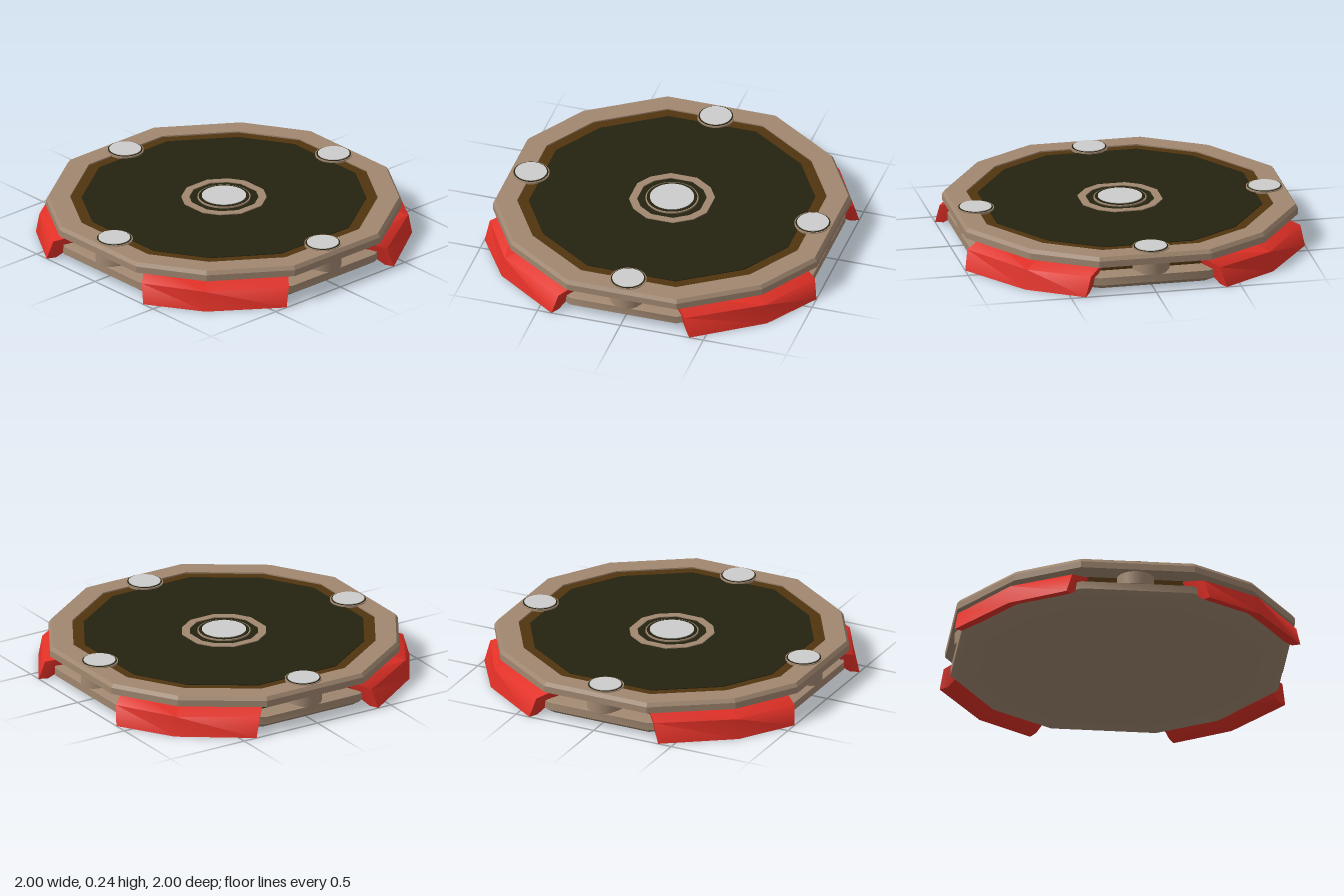
import * as THREE from 'three';
import { toCreasedNormals } from 'three/addons/utils/BufferGeometryUtils.js';

const material = (name, color, side = THREE.FrontSide) => {
  const m = new THREE.MeshStandardMaterial({ color, side });
  m.name = name;
  return m;
};

// Twelve-sided outline, mirrored from one quadrant
const QUADRANT = [[0.977, 0.33], [0.69, 0.757], [0.33, 0.977]];
const mirrored = (points, sx, sz) => {
  const p = points.map(([x, z]) => [x * sx, z * sz]);
  return sx * sz < 0 ? p.reverse() : p;
};
const OUTLINE = [[1, 1], [-1, 1], [-1, -1], [1, -1]].flatMap(([sx, sz]) => mirrored(QUADRANT, sx, sz));

// Skin between rings of [x, y, z] points
function loft(rings, { around = true, loop = false, ends = false, crease = 0.3 } = {}) {
  const n = rings[0].length, m = rings.length, index = [];
  for (let j = 0; j < (loop ? m : m - 1); j++) {
    for (let i = 0; i < (around ? n : n - 1); i++) {
      const k = (j + 1) % m, l = (i + 1) % n;
      const a = j * n + i, b = j * n + l, c = k * n + l, d = k * n + i;
      index.push(a, d, c, a, c, b);
    }
  }
  if (ends) {
    for (let j = 1; j < m - 1; j++) {
      index.push(0, (j + 1) * n, j * n);
      index.push(n - 1, j * n + n - 1, (j + 1) * n + n - 1);
    }
  }
  const g = new THREE.BufferGeometry();
  g.setAttribute('position', new THREE.Float32BufferAttribute(rings.flat(2), 3));
  g.setIndex(index);
  return toCreasedNormals(g, crease);
}

// Profile of [scale, y] pairs swept around the outline
const plate = (profile, options) =>
  loft(profile.map(([s, y]) => OUTLINE.map(([x, z]) => [x * s, y, z * s])), options);

export function createModel() {
  const model = new THREE.Group();
  const tan = material('tan casing', 0xa08770);
  const red = material('red clip', 0xe03026, THREE.DoubleSide);
  const brown = material('brown core', 0x50340f);
  const dark = material('dark panel', 0x24220f);
  const silver = material('silver cap', 0xcccccc);

  const add = (name, geometry, mat, parent = model) => {
    const mesh = new THREE.Mesh(geometry, mat);
    mesh.name = name;
    parent.add(mesh);
    return mesh;
  };

  // Base with a softly rounded underside
  add('base', plate([[0, 0], [0.7, 0], [0.92, 0.012], [0.97, 0.045], [0.97, 0.09], [0.93, 0.1], [0, 0.1]],
    { crease: 0.96 }), tan);

  // Core, upper ring and top panel
  add('core', plate([[0.868, 0.09], [0.868, 0.217], [0, 0.217]]), brown);
  add('upperRing', plate([[0.865, 0.165], [1, 0.165], [1, 0.203], [0.985, 0.225], [0.865, 0.225]],
    { loop: true }), tan);
  add('topPanel', plate([[0.8, 0.216], [0.8, 0.221], [0, 0.221]]), dark);
  add('centreRing', plate([[0.195, 0.218], [0.24, 0.218], [0.24, 0.226], [0.195, 0.226]],
    { loop: true }), tan);

  // Round post with a dark seat and a silver cap
  const post = (name, x, z, r, capR, bottom) => {
    const group = new THREE.Group();
    group.name = name;
    group.position.set(x, 0, z);
    const disc = (part, radius, y0, y1, mat) => {
      const mesh = add(part, new THREE.CylinderGeometry(radius, radius, y1 - y0, 32), mat, group);
      mesh.position.y = (y0 + y1) / 2;
    };
    disc('post', r, bottom, 0.23, tan);
    disc('capSeat', r - 0.007, 0.229, 0.232, dark);
    disc('cap', capR, 0.23, 0.236, silver);
    model.add(group);
  };
  post('centrePost', 0, 0, 0.153, 0.128, 0.2);
  for (const [x, z] of [[0.85, 0], [0, 0.85], [-0.85, 0], [0, -0.85]]) post('rimPost', x, z, 0.107, 0.092, 0.09);

  // Corner clips: each row is height, end point, middle point
  const CLIP = [
    [0.005, [0.385, 0.955], [0.7, 0.765]],
    [0, [0.415, 1], [0.73, 0.8]],
    [0.115, [0.38, 0.98], [0.715, 0.785]],
    [0.16, [0.27, 0.85], [0.585, 0.645]],
    [0.1, [0.3, 0.85], [0.585, 0.645]],
  ];
  for (const sx of [1, -1]) {
    for (const sz of [1, -1]) {
      const rings = CLIP.map(([y, [x, z], middle]) =>
        mirrored([[z, x], middle, [x, z]], sx, sz).map(([px, pz]) => [px, y, pz]));
      add('cornerClip', loft(rings, { around: false, loop: true, ends: true, crease: 1.05 }), red);
    }
  }
  return model;
}
